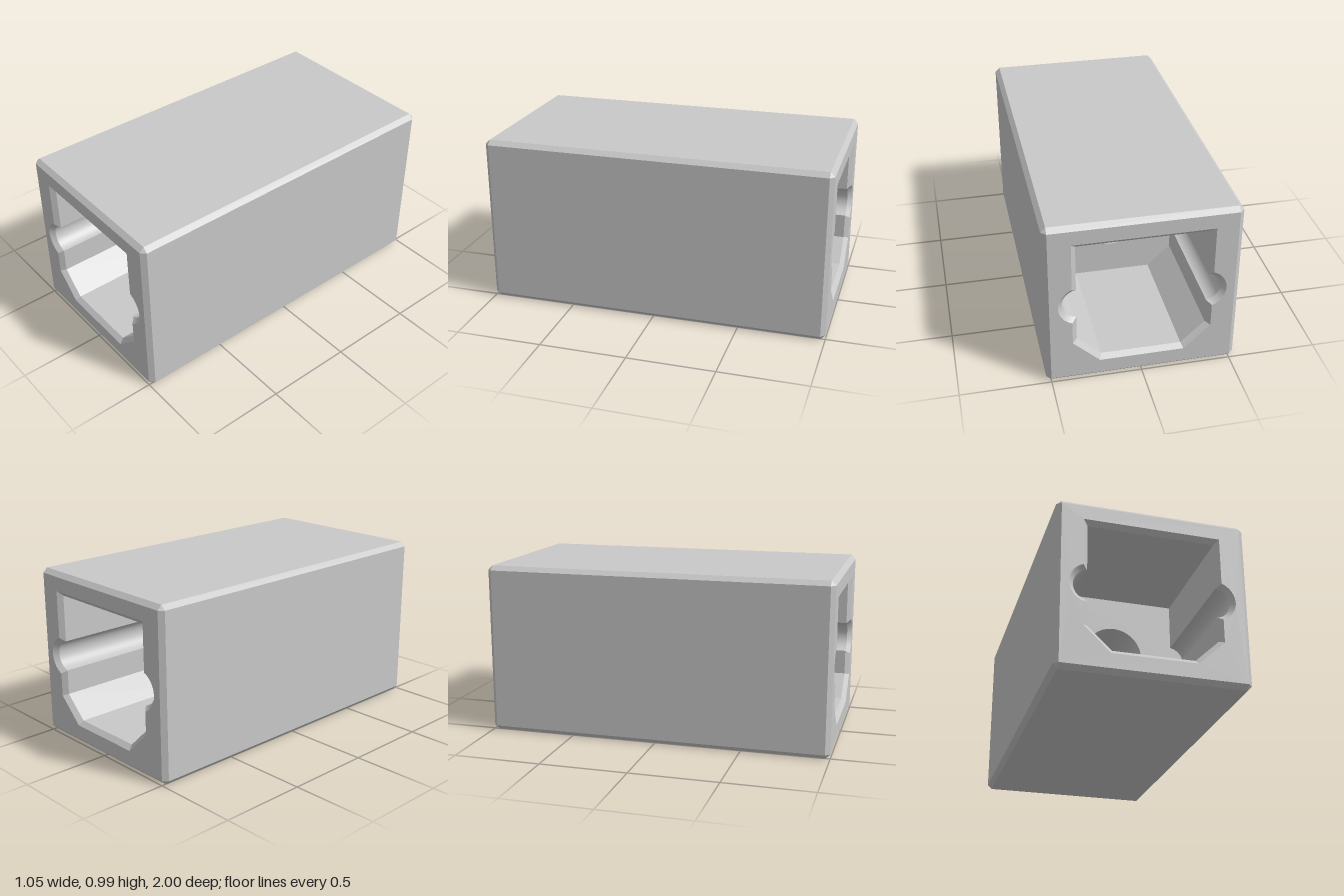
import * as THREE from 'three';
import { toCreasedNormals } from 'three/addons/utils/BufferGeometryUtils.js';

const W = 0.527, H = 0.985, D = 1, BEVEL = 0.026; // half width, height, half depth, edge bevel
const MID = H / 2;                                // height of bore and side grooves
const WALL = 0.23;                                // half thickness of the dividing wall
const BORE = 0.168;

// Skin between rings [outline, z]; faces outward when z falls, inward when z rises
function loft(rings) {
  const pos = [];
  for (let r = 0; r < rings.length - 1; r++) {
    const [A, za] = rings[r], [B, zb] = rings[r + 1];
    for (let i = 0; i < A.length; i++) {
      const j = (i + 1) % A.length;
      const a = [A[i].x, A[i].y, za], b = [A[j].x, A[j].y, za];
      const c = [B[i].x, B[i].y, zb], d = [B[j].x, B[j].y, zb];
      pos.push(...a, ...c, ...b, ...b, ...c, ...d);
    }
  }
  const g = new THREE.BufferGeometry();
  g.setAttribute('position', new THREE.Float32BufferAttribute(pos, 3));
  return toCreasedNormals(g, 0.5);
}

// Counter-clockwise outline from its right half, listed bottom to top
function mirrored(right) {
  const left = right.map(p => new THREE.Vector2(-p.x, p.y)).reverse();
  return [...right, ...left];
}

// Rectangle inset by sx, sy; each corner is doubled so it can open into a bevel
function bodyOutline(cut) {
  const x = W - BEVEL, y0 = BEVEL, y1 = H - BEVEL, e = cut ? BEVEL : 0;
  return mirrored([
    new THREE.Vector2(x, y0 - e), new THREE.Vector2(x + e, y0),
    new THREE.Vector2(x + e, y1), new THREE.Vector2(x, y1 + e),
  ]);
}

// Socket outline: square top, clipped lower corners, a round groove in each side
function socketOutline(w, top, clipX, clipY, bottom, r) {
  const cx = 0.34, a = Math.acos((w - cx) / r), n = 24;
  const pts = [new THREE.Vector2(clipX, bottom), new THREE.Vector2(w, clipY)];
  for (let i = 0; i <= n; i++) {
    const t = -a + 2 * a * i / n;
    pts.push(new THREE.Vector2(cx + r * Math.cos(t), MID + r * Math.sin(t)));
  }
  pts.push(new THREE.Vector2(w, top));
  return mirrored(pts);
}

function plate(outline, hole, z) {
  const s = new THREE.Shape(outline);
  s.holes.push(new THREE.Path(hole));
  return new THREE.ShapeGeometry(s).translate(0, 0, z);
}

export function createModel() {
  const model = new THREE.Group();
  model.name = 'couplerBlock';
  const grey = new THREE.MeshStandardMaterial({ color: 0xc8c8c8 });
  grey.name = 'lightGrey';
  const add = (parent, name, geometry) => {
    const m = new THREE.Mesh(geometry, grey);
    m.name = name;
    parent.add(m);
  };

  const face = bodyOutline(false), girth = bodyOutline(true);
  const mouth = socketOutline(0.38, 0.877, 0.233, 0.25, 0.109, 0.115);
  const inner = socketOutline(0.354, 0.851, 0.222, 0.26, 0.135, 0.089);
  const bore = [];
  for (let i = 0; i < 64; i++) {
    const t = i / 64 * Math.PI * 2;
    bore.push(new THREE.Vector2(BORE * Math.cos(t), MID + BORE * Math.sin(t)));
  }

  // Bevelled outer shell
  add(model, 'outerShell', loft([[face, D], [girth, D - BEVEL], [girth, -D + BEVEL], [face, -D]]));
  // Bore through the dividing wall
  add(model, 'centreBore', loft([[bore, -WALL], [bore, WALL]]));

  // Identical sockets at both ends
  for (const end of ['front', 'back']) {
    const g = new THREE.Group();
    g.name = end + 'Socket';
    const corners = [face[0], face[2], face[4], face[6]];
    add(g, end + 'Rim', plate(corners, mouth, D));
    add(g, end + 'SocketWalls', loft([[inner, WALL], [inner, D - BEVEL], [mouth, D]]));
    add(g, end + 'DividingWall', plate(inner, bore, WALL));
    if (end === 'back') g.rotation.y = Math.PI;
    model.add(g);
  }
  return model;
}
